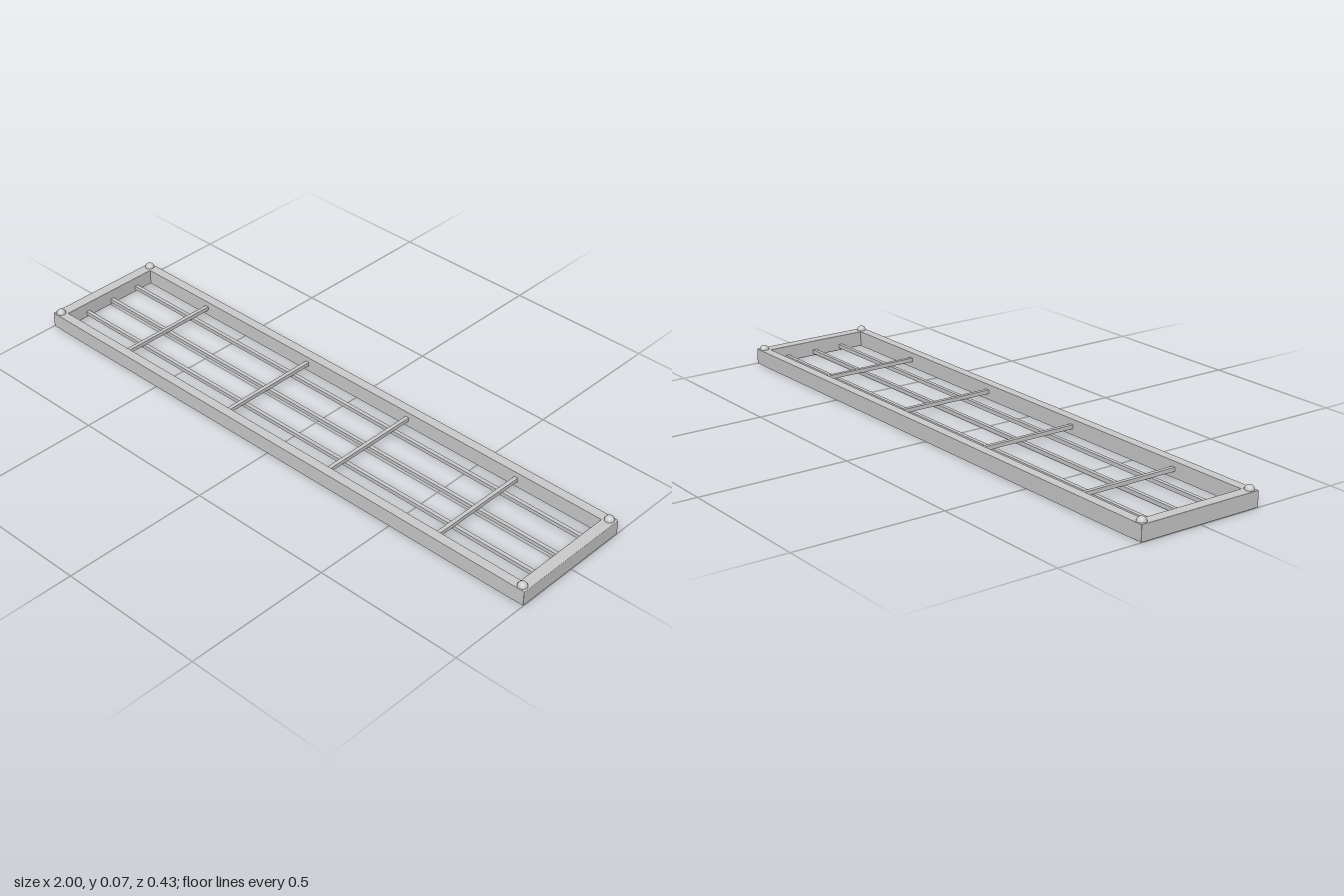
import * as THREE from 'three';
import { RoundedBoxGeometry } from 'three/addons/geometries/RoundedBoxGeometry.js';

const material = new THREE.MeshStandardMaterial({ color: 0xcccccc });

const LENGTH = 2, DEPTH = 0.43, HEIGHT = 0.052;
const END = 0.038, RAIL = 0.032, BAR = 0.013;

export function createModel() {
  const model = new THREE.Group();
  model.name = 'grille';

  function add(name, geometry, x, y, z) {
    const mesh = new THREE.Mesh(geometry, material);
    mesh.name = name;
    mesh.position.set(x, y, z);
    model.add(mesh);
  }

  // Outer frame: two end pieces with long rails between them
  const endGeometry = new RoundedBoxGeometry(END, HEIGHT, DEPTH, 2, 0.002);
  const railGeometry = new THREE.BoxGeometry(LENGTH - 2 * END + 0.004, HEIGHT - 0.0005, RAIL);
  for (const s of [-1, 1]) {
    add(s > 0 ? 'leftEnd' : 'rightEnd', endGeometry, s * (LENGTH - END) / 2, HEIGHT / 2, 0);
    add(s > 0 ? 'frontRail' : 'backRail', railGeometry, 0, HEIGHT / 2, s * (DEPTH - RAIL) / 2);
  }

  // Lengthwise bars, lower layer
  const longBar = new THREE.BoxGeometry(LENGTH - 2 * END, BAR, BAR);
  for (const z of [-0.118, -0.008, 0.099]) add('longBar', longBar, 0, 0.0145, z);

  // Crosswise bars resting on the lengthwise ones
  const crossBar = new THREE.BoxGeometry(BAR, BAR, DEPTH - 2 * RAIL);
  for (const x of [-0.682, -0.215, 0.215, 0.648]) add('crossBar', crossBar, x, 0.0275, 0);

  // Domed stud on each corner
  const stud = new THREE.SphereGeometry(0.0155, 20, 8, 0, Math.PI * 2, 0, Math.PI / 2);
  for (const x of [-0.98, 0.98])
    for (const z of [-0.198, 0.198]) add('cornerStud', stud, x, HEIGHT - 0.0005, z);

  return model;
}
